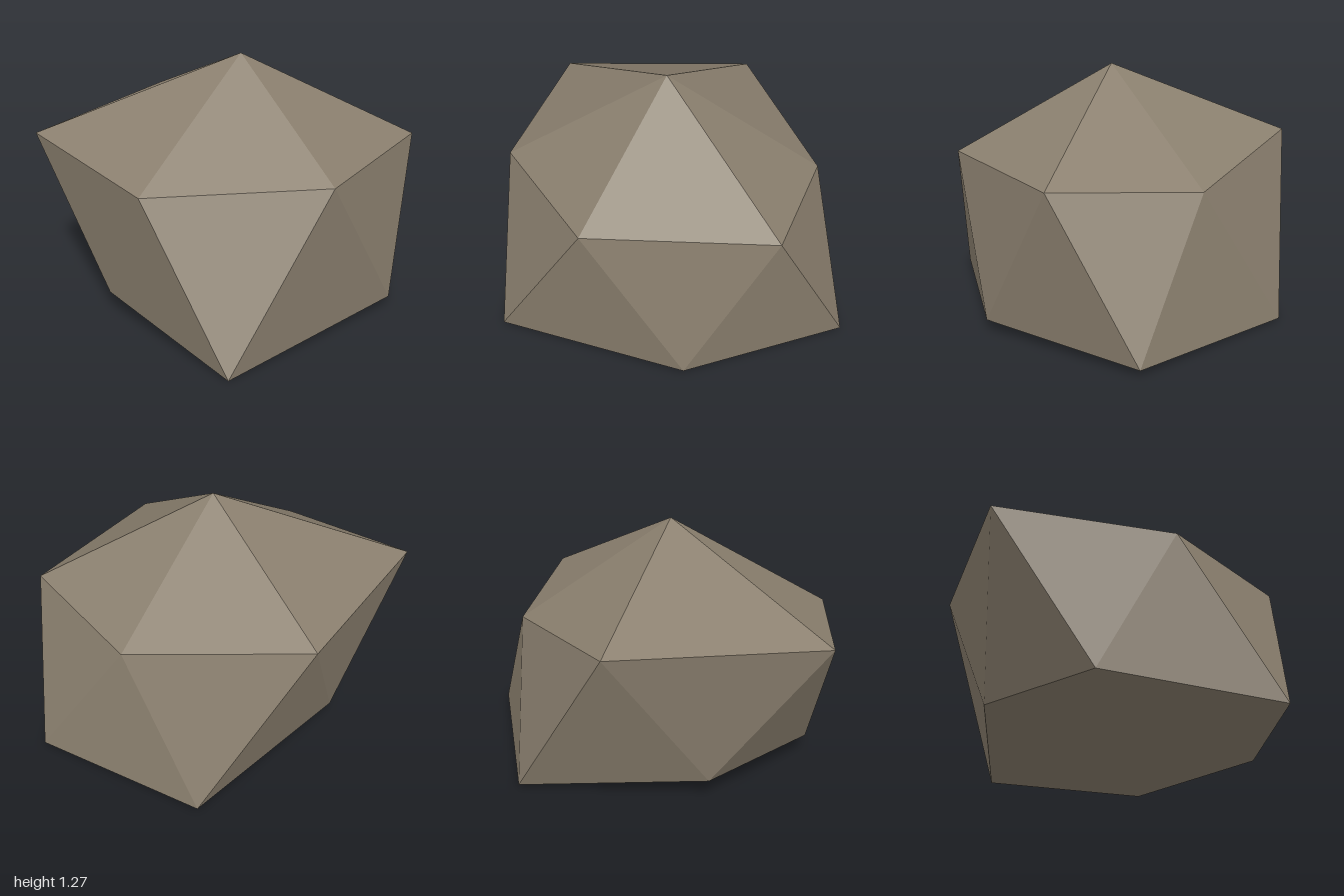
import * as THREE from 'three';

export function createModel() {
  const stone = new THREE.MeshStandardMaterial({ color: 0x8a7f6e });
  stone.name = 'stone';

  // Crown, shoulder ring, foot ring and base centre; rings run counterclockwise seen from above
  const crown = [-0.05, 1.27, 0.06];
  const shoulder = [
    [-0.05, 0.82, 0.88], [0.78, 0.81, 0.46], [0.66, 0.75, -0.29],
    [-0.05, 0.89, -0.89], [-1, 0.875, -0.4], [-0.81, 0.775, 0.43],
  ];
  const foot = [
    [0.43, 0.06, 0.75], [1, 0.03, 0.06], [0.5, 0.01, -0.74],
    [-0.46, 0.12, -0.53], [-0.83, 0.12, 0.06], [-0.61, 0, 0.88],
  ];
  const base = [-0.05, 0.05, 0.06];

  // Each sixth: a cap facet, two side facets and a base facet
  const positions = [];
  const facet = (a, b, c) => positions.push(...a, ...b, ...c);
  for (let i = 0; i < 6; i++) {
    const j = (i + 1) % 6;
    facet(crown, shoulder[i], shoulder[j]);
    facet(shoulder[i], foot[i], shoulder[j]);
    facet(foot[i], foot[j], shoulder[j]);
    facet(base, foot[j], foot[i]);
  }

  const geometry = new THREE.BufferGeometry();
  geometry.setAttribute('position', new THREE.Float32BufferAttribute(positions, 3));
  geometry.computeVertexNormals(); // unshared corners keep every facet flat

  const rock = new THREE.Mesh(geometry, stone);
  rock.name = 'rock';
  const group = new THREE.Group();
  group.name = 'boulder';
  group.add(rock);
  return group;
}
